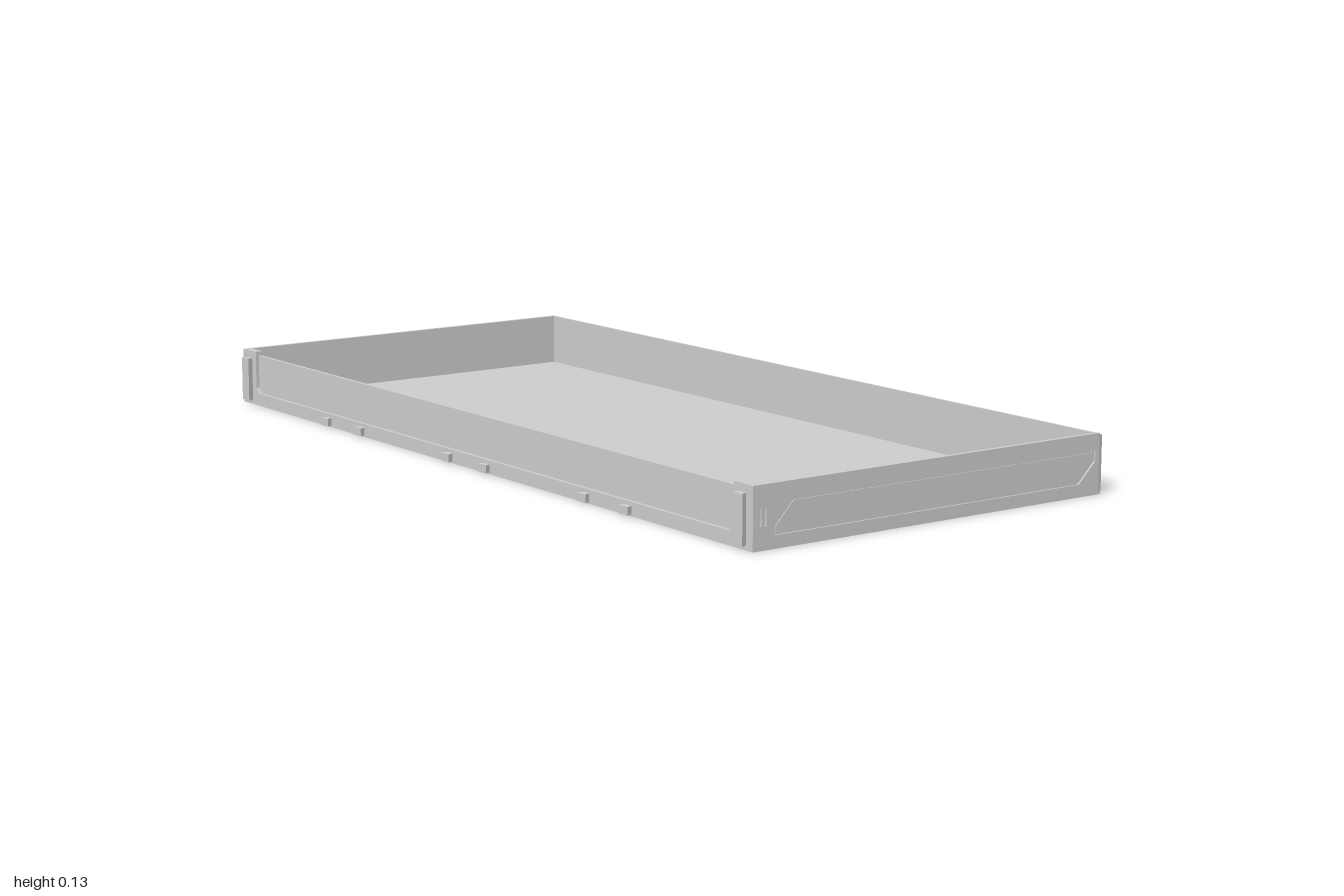
import * as THREE from 'three';

const grey = new THREE.MeshStandardMaterial({ color: 0xcccccc, flatShading: true });
const greyThin = new THREE.MeshStandardMaterial({ color: 0xcccccc, flatShading: true, side: THREE.DoubleSide });

const toVec = pts => pts.map(([x, y]) => new THREE.Vector2(x, y));

function shapeOf(outline, holes = []) {
  const s = new THREE.Shape(toVec(outline));
  holes.forEach(h => s.holes.push(new THREE.Path(toVec(h))));
  return s;
}

const rect = (x0, x1, y0, y1) => [[x0, y0], [x1, y0], [x1, y1], [x0, y1]];

// Rectangle with cut corners, c at the bottom and t at the top
const cutRect = (x0, x1, y0, y1, c, t) => [
  [x0 + c, y0], [x1 - c, y0], [x1, y0 + c], [x1, y1 - t],
  [x1 - t, y1], [x0 + t, y1], [x0, y1 - t], [x0, y0 + c]];

function extrude(outline, holes, depth) {
  return new THREE.ExtrudeGeometry(shapeOf(outline, holes), { depth, bevelEnabled: false });
}

// Strip of sloped faces joining two loops of equal length
function loft(a, za, b, zb) {
  const v = [];
  a.forEach((p, i) => {
    const j = (i + 1) % a.length;
    const A = [...p, za], B = [...a[j], za], C = [...b[j], zb], D = [...b[i], zb];
    v.push(...A, ...B, ...C, ...A, ...C, ...D);
  });
  const g = new THREE.BufferGeometry();
  g.setAttribute('position', new THREE.Float32BufferAttribute(v, 3));
  g.computeVertexNormals();
  return g;
}

export function createModel() {
  const model = new THREE.Group();
  const add = (name, geo, mat = grey, parent = model) => {
    const m = new THREE.Mesh(geo, mat);
    m.name = name;
    parent.add(m);
    return m;
  };
  const box = (name, x0, x1, y0, y1, z0, z1) =>
    add(name, new THREE.BoxGeometry(x1 - x0, y1 - y0, z1 - z0))
      .position.set((x0 + x1) / 2, (y0 + y1) / 2, (z0 + z1) / 2);

  const H = 0.13;
  box('floor', -0.998, 0.998, 0, 0.01, -0.465, 0.452);

  // Side walls: outer skin with a long recess and a small slot pair, on a thin backing
  const recess = [[0.403, 0.027], [0.403, 0.045], [0.356, 0.094],
    [-0.446, 0.094], [-0.446, 0.071], [-0.4, 0.027]];
  const inset = [[0.398, 0.031], [0.398, 0.044], [0.354, 0.09],
    [-0.441, 0.09], [-0.441, 0.073], [-0.398, 0.031]];
  const wall = rect(-0.457, 0.455, 0, H);
  const slots = [rect(0.434, 0.44, 0.048, 0.084), rect(0.422, 0.428, 0.048, 0.084)];
  for (const s of [1, -1]) {
    const side = s > 0 ? 'left' : 'right';
    const place = (name, outline, holes, depth, outer) => {
      const g = extrude(outline, holes, depth);
      g.rotateY(-Math.PI / 2);
      g.translate(s > 0 ? outer : -outer + depth, 0, 0);
      add(name, g);
    };
    place(side + 'WallSkin', wall, [recess, ...slots], 0.004, 1);
    place(side + 'WallBacking', wall, [], 0.006, 0.996);
    place(side + 'RecessPanel', inset, [], 0.002, 0.998);
  }

  // Front wall: set-back panel behind a frame that is open at the top
  box('frontPanel', -0.992, 0.992, 0, 0.12, 0.438, 0.446);
  const frame = [[-0.998, 0], [0.998, 0], [0.998, H], [0.94, H], [0.94, 0.042], [0.928, 0.03],
    [-0.928, 0.03], [-0.94, 0.042], [-0.94, H], [-0.998, H]];
  add('frontFrame', extrude(frame, [], 0.009).translate(0, 0, 0.445));
  for (const s of [1, -1])
    box('frontCornerPost', s * 0.967 - 0.027, s * 0.967 + 0.027, 0.01, H, 0.436, 0.446);

  // Dovetail tabs on the front, wider at the outside
  const tab = (name, x, y0, y1) => {
    const g = extrude([[-0.009, 0], [0.009, 0], [0.016, -0.015], [-0.016, -0.015]], [], y1 - y0);
    g.rotateX(-Math.PI / 2);
    g.translate(x, y0, 0.453);
    add(name, g);
  };
  for (const c of [-0.52, 0, 0.52])
    for (const d of [-0.074, 0.074]) tab('lowerTab', c + d, 0.004, 0.022);
  for (const s of [1, -1]) tab('cornerTab', s * 0.968, 0.01, 0.113);

  // Back wall: plate with bevelled pads, parted by upright channels
  const zFace = -0.468, zBase = -0.455;
  box('backPlate', -0.998, 0.998, 0, H, zBase, -0.449);
  const pad = (name, x0, x1, left, right, pocket, floor) => {
    const g = new THREE.Group();
    g.name = name;
    model.add(g);
    const face = rect(x0, x1, 0.006, 0.124);
    const base = rect(x0 - left, x1 + right, 0, H);
    add('padFace', new THREE.ShapeGeometry(shapeOf(face, [pocket])).translate(0, 0, zFace), greyThin, g);
    add('padEdge', loft(face, zFace, base, zBase), greyThin, g);
    add('pocketBevel', loft(pocket, zFace, floor, zBase), greyThin, g);
  };
  for (const c of [-0.52, 0, 0.52])
    pad('widePad', c - 0.2, c + 0.2, 0.02, 0.02,
      cutRect(c - 0.19, c + 0.19, 0.018, 0.108, 0.02, 0.006),
      cutRect(c - 0.178, c + 0.178, 0.046, 0.102, 0.016, 0.005));
  for (const s of [1, -1]) {
    const c = s * 0.917, e = s > 0;
    pad('cornerPad', e ? 0.84 : -0.996, e ? 0.996 : -0.84, e ? 0.02 : 0.004, e ? 0.004 : 0.02,
      cutRect(c - 0.062, c + 0.062, 0.018, 0.112, 0.022, 0.022),
      cutRect(c - 0.05, c + 0.05, 0.046, 0.104, 0.018, 0.018));
  }
  return model;
}
